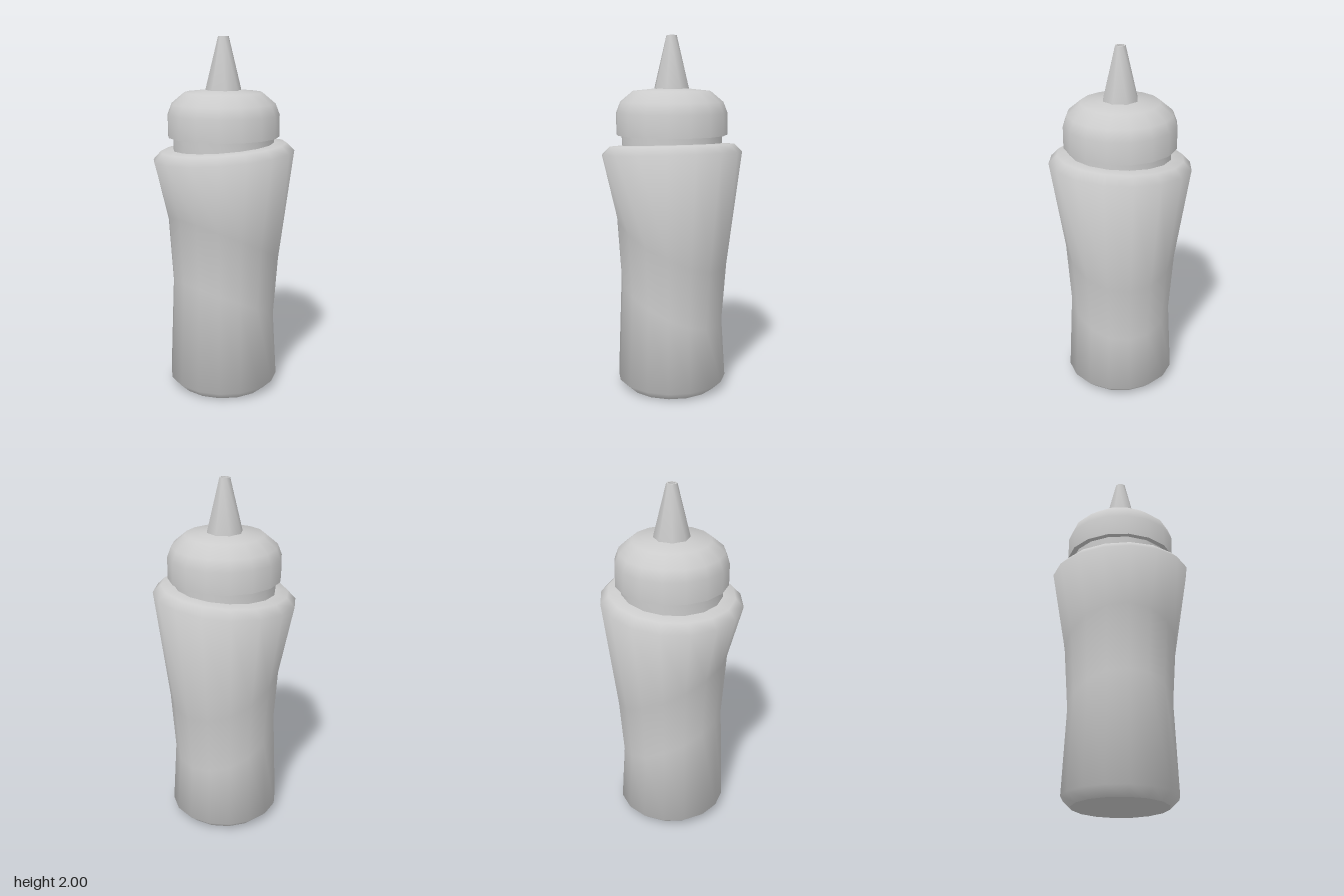
import * as THREE from 'three';
import { toCreasedNormals } from 'three/addons/utils/BufferGeometryUtils.js';

const material = new THREE.MeshStandardMaterial({ color: 0xcccccc });

// Turned part. Each ring is [radius, height, slopeX, slopeZ]; slopes tilt the ring.
function turned(name, rings, sides, start, crease) {
  const points = rings.map(([r, y]) => new THREE.Vector2(r, y));
  const geometry = new THREE.LatheGeometry(points, sides, start);
  const pos = geometry.attributes.position;
  for (let i = 0; i < pos.count; i++) {
    const [, y, slopeX = 0, slopeZ = 0] = rings[i % rings.length];
    pos.setY(i, y + slopeX * pos.getX(i) + slopeZ * pos.getZ(i));
  }
  const mesh = new THREE.Mesh(toCreasedNormals(geometry, crease), material);
  mesh.name = name;
  return mesh;
}

export function createModel() {
  const group = new THREE.Group();
  group.name = 'squeezeBottle';
  const seam = -Math.PI / 4;

  // Waisted body with slanted grip rings and a gently tilted shoulder
  group.add(turned('body', [
    [0.26, 0], [0.312, 0.05],
    [0.29, 0.52, -0.48, 0],
    [0.314, 0.87, -0.5, 0],
    [0.394, 1.355, 0.054, 0.054],
    [0.35, 1.4, 0.054, 0.054],
    [0.27, 1.405, 0.054, 0.054],
  ], 16, seam, 1.15));

  // Flat underside
  group.add(turned('base', [[0, 0], [0.26, 0]], 16, seam, 0.7));

  // Neck between shoulder and lid
  group.add(turned('neck', [[0.28, 1.37], [0.28, 1.465]], 16, seam, 0.7));

  // Domed lid, closed underneath
  group.add(turned('lid', [
    [0, 1.46], [0.31, 1.46], [0.31, 1.58], [0.287, 1.64], [0.215, 1.7], [0, 1.722],
  ], 16, seam, 0.7));

  // Tapered nozzle with a hollow tip
  group.add(turned('nozzle', [
    [0.099, 1.705], [0.098, 1.718], [0.029, 2], [0.02, 2], [0.018, 1.94], [0, 1.94],
  ], 8, 0.19 - Math.PI / 4, 0.9));

  return group;
}
